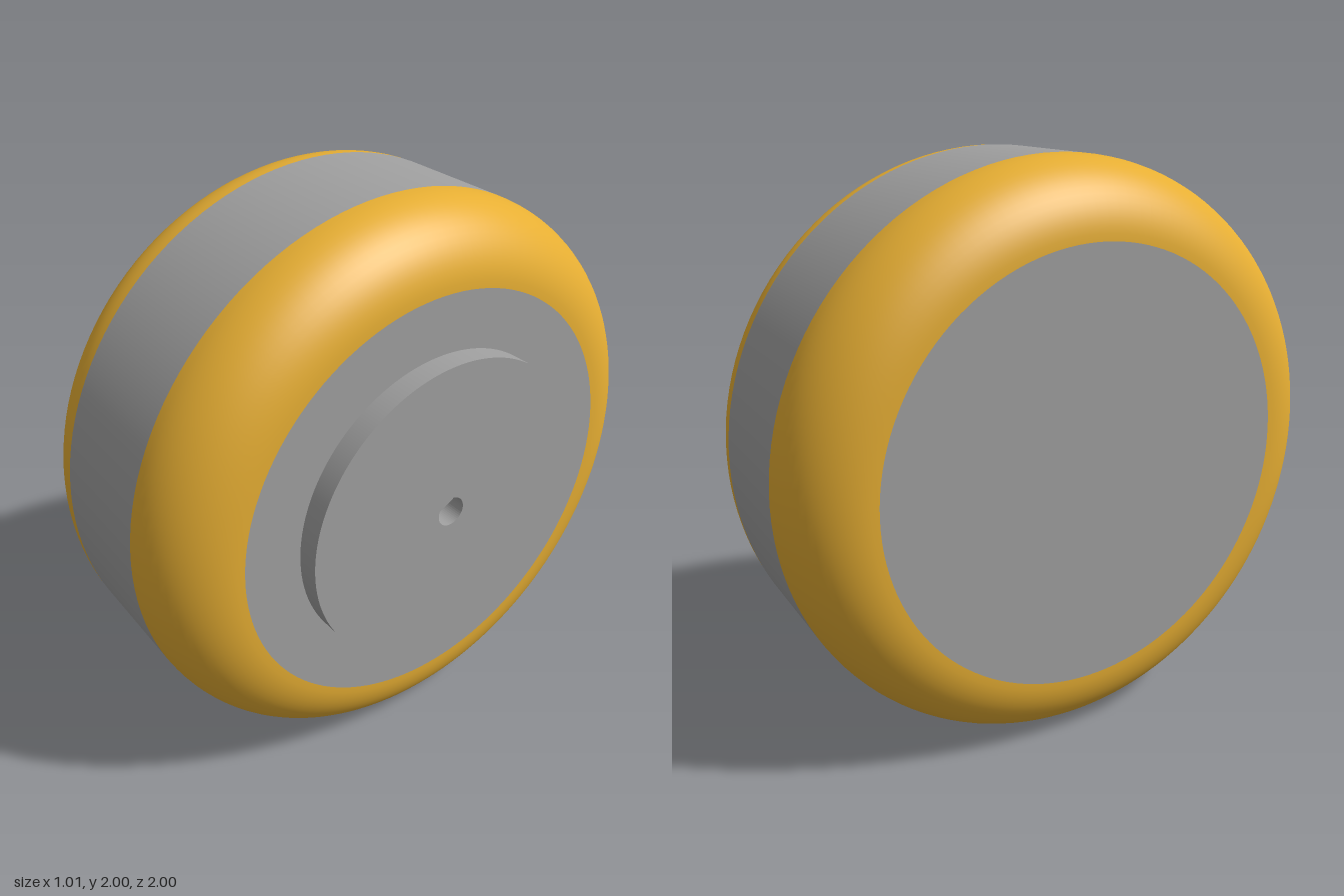
import * as THREE from 'three';

const BACK = -0.505, FACE = 0.425, HUB = 0.505;   // stations along the axle (x)
const R = 1, FILLET = 0.25, HUB_R = 0.55, HOLE_R = 0.053, HOLE_DEPTH = 0.3;

export function createModel() {
  const grey = new THREE.MeshStandardMaterial({ color: 0xa0a0a0 });
  grey.name = 'grey';
  const yellow = new THREE.MeshStandardMaterial({ color: 0xe6ae33 });
  yellow.name = 'amber yellow';

  const wheel = new THREE.Group();
  wheel.name = 'wheel';
  wheel.position.y = R;

  const add = (name, geometry, material) => {
    const mesh = new THREE.Mesh(geometry, material);
    mesh.name = name;
    wheel.add(mesh);
  };
  // Surface of revolution about the x axle; profile is [radius, x] pairs
  const revolve = (name, profile, material) => {
    const pts = profile.map(([r, x]) => new THREE.Vector2(r, x));
    add(name, new THREE.LatheGeometry(pts, 128).rotateZ(-Math.PI / 2), material);
  };
  // Quarter-round profile from angle a to a + 90 degrees
  const fillet = (x, a) => Array.from({ length: 17 }, (_, i) => {
    const t = a + (i / 16) * Math.PI / 2;
    return [R - FILLET + FILLET * Math.cos(t), x + FILLET * Math.sin(t)];
  });

  // Body: each surface separate so the edges and colours stay crisp
  revolve('backFace', [[0, BACK], [R - FILLET, BACK]], grey);
  revolve('backShoulder', fillet(BACK + FILLET, -Math.PI / 2), yellow);
  revolve('treadBand', [[R, BACK + FILLET], [R, FACE - FILLET]], grey);
  revolve('frontShoulder', fillet(FACE - FILLET, 0), yellow);
  revolve('frontFace', [[R - FILLET, FACE], [HUB_R, FACE]], grey);
  revolve('hubRim', [[HUB_R, FACE], [HUB_R, HUB]], grey);

  // D-shaped axle hole: a circle with a chord across its upper left
  const a0 = THREE.MathUtils.degToRad(157), a1 = THREE.MathUtils.degToRad(80 + 360);
  const hole = Array.from({ length: 41 }, (_, i) => {
    const t = a0 + (a1 - a0) * i / 40;
    return new THREE.Vector2(HOLE_R * Math.cos(t), HOLE_R * Math.sin(t));
  });
  const toAxle = (geometry, x) => geometry.rotateY(Math.PI / 2).translate(x, 0, 0);

  // Hub face pierced by the hole
  const disc = new THREE.Shape().absarc(0, 0, HUB_R, 0, Math.PI * 2);
  disc.holes.push(new THREE.Path(hole));
  add('hubFace', toAxle(new THREE.ShapeGeometry(disc, 128), HUB), grey);
  add('holeFloor', toAxle(new THREE.ShapeGeometry(new THREE.Shape(hole)), HUB - HOLE_DEPTH), grey);

  // Hole wall, facing inward
  const wall = [];
  hole.forEach((p, i) => {
    const q = hole[(i + 1) % hole.length], d = -HOLE_DEPTH;
    wall.push(p.x, p.y, 0, q.x, q.y, 0, q.x, q.y, d);
    wall.push(p.x, p.y, 0, q.x, q.y, d, p.x, p.y, d);
  });
  const wallGeometry = new THREE.BufferGeometry();
  wallGeometry.setAttribute('position', new THREE.Float32BufferAttribute(wall, 3));
  wallGeometry.computeVertexNormals();
  add('holeWall', toAxle(wallGeometry, HUB), grey);

  const model = new THREE.Group();
  model.name = 'model';
  model.add(wheel);
  return model;
}
